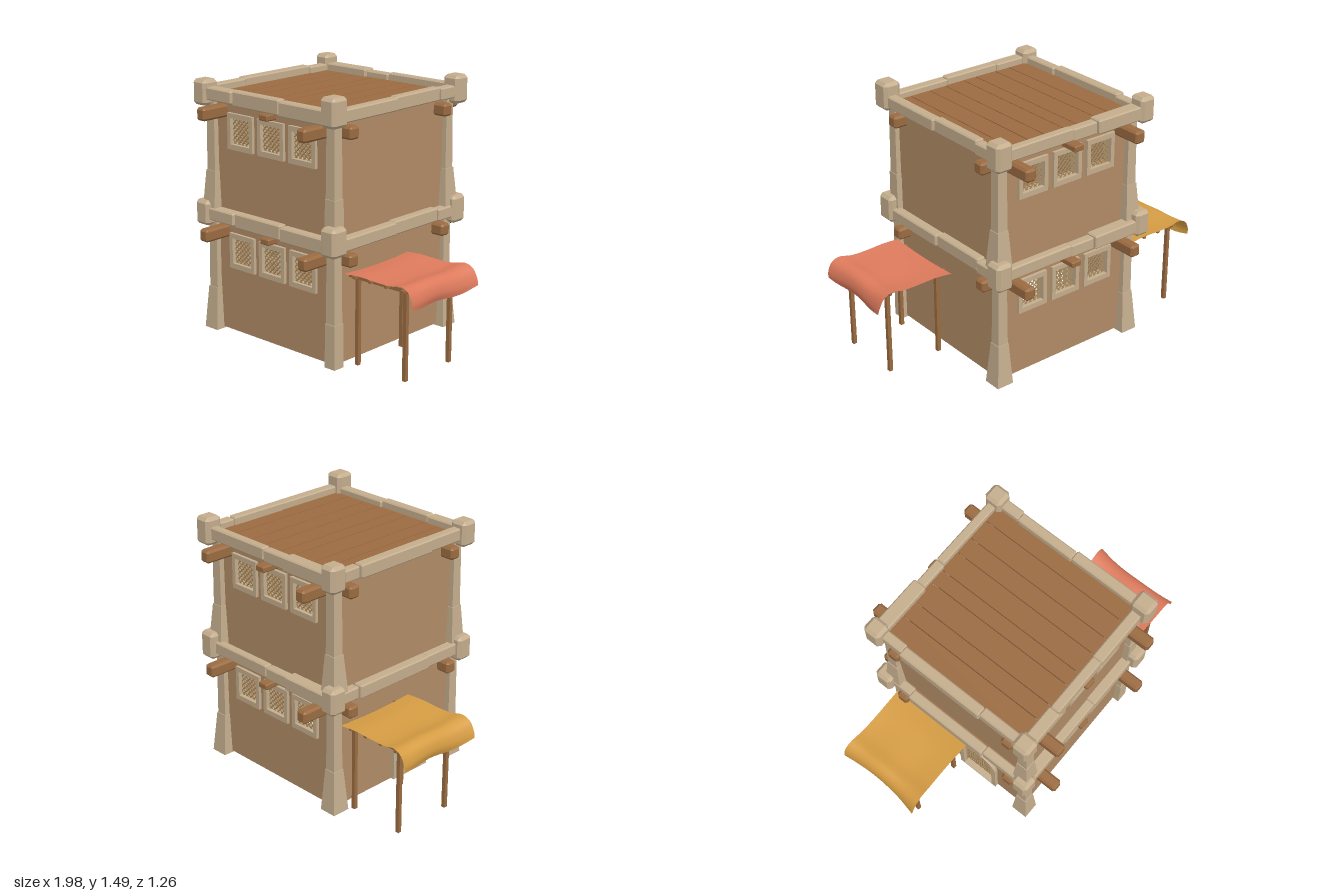
import * as THREE from 'three';
import { mergeGeometries } from 'three/addons/utils/BufferGeometryUtils.js';
import { ConvexGeometry } from 'three/addons/geometries/ConvexGeometry.js';

const mat = (name, color, side = THREE.FrontSide) =>
  Object.assign(new THREE.MeshStandardMaterial({ color, side }), { name });
const plaster = mat('plaster', 0xb08b65);
const stone = mat('stone', 0xc4ad8d);
const wood = mat('wood', 0x9a6b41);
const darkWood = mat('darkWood', 0x5c3e26);
const latticeWood = mat('latticeWood', 0xa88a60);
const redCloth = mat('redCloth', 0xdd7a5c, THREE.DoubleSide);
const yellowCloth = mat('yellowCloth', 0xd59c43, THREE.DoubleSide);

const LEVEL = 0.69;

function add(parent, name, geometry, material, x = 0, y = 0, z = 0) {
  const mesh = new THREE.Mesh(geometry, material);
  mesh.name = name;
  mesh.position.set(x, y, z);
  parent.add(mesh);
  return mesh;
}

// Box given by its limits, with all edges chamfered by c
function chiselled(parent, name, material, [x0, x1], [y0, y1], [z0, z1], c = 0.01) {
  const half = [(x1 - x0) / 2, (y1 - y0) / 2, (z1 - z0) / 2];
  const points = [];
  for (let axis = 0; axis < 3; axis++)
    for (const sx of [-1, 1]) for (const sy of [-1, 1]) for (const sz of [-1, 1]) {
      const p = half.map((h, i) => (i === axis ? h : h - c));
      points.push(new THREE.Vector3(sx * p[0], sy * p[1], sz * p[2]));
    }
  return add(parent, name, new ConvexGeometry(points), material,
    (x0 + x1) / 2, (y0 + y1) / 2, (z0 + z1) / 2);
}

// Four-sided block from a bottom and a top rectangle
function tapered(parent, name, material, bottom, top, y0, y1) {
  const points = [];
  for (const [[x0, x1, z0, z1], y] of [[bottom, y0], [top, y1]])
    for (const x of [x0, x1]) for (const z of [z0, z1]) points.push(new THREE.Vector3(x, y, z));
  return add(parent, name, new ConvexGeometry(points), material);
}

function rectangle(Type, x0, y0, x1, y1) {
  const p = new Type();
  p.moveTo(x0, y0); p.lineTo(x1, y0); p.lineTo(x1, y1); p.lineTo(x0, y1); p.closePath();
  return p;
}

function arch(Type, cx, y0, spring, r) {
  const p = new Type();
  p.moveTo(cx - r, y0); p.lineTo(cx + r, y0); p.lineTo(cx + r, spring);
  p.absarc(cx, spring, r, 0, Math.PI, false);
  p.closePath();
  return p;
}

const extrude = (shape, depth) =>
  new THREE.ExtrudeGeometry(shape, { depth, bevelEnabled: false, curveSegments: 10 });

// Crossed diagonal strips filling a convex region around the origin
function latticeGeometry(inside, reach, pitch = 0.021) {
  const strips = [];
  for (const angle of [Math.PI / 4, -Math.PI / 4]) {
    const c = Math.cos(angle), s = Math.sin(angle);
    for (let d = -reach; d <= reach; d += pitch) {
      let first = null, last = null;
      for (let t = -reach; t <= reach; t += 0.003)
        if (inside(t * c - d * s, t * s + d * c)) { first ??= t; last = t; }
      if (first === null || last - first < 0.004) continue;
      const strip = new THREE.BoxGeometry(last - first, 0.0055, 0.006);
      strip.translate((first + last) / 2, d, 0).rotateZ(angle);
      strips.push(strip);
    }
  }
  return mergeGeometries(strips);
}

const WINDOWS = [-0.235, 0, 0.235];
const windowLattice = latticeGeometry((x, y) => Math.abs(x) < 0.075 && Math.abs(y) < 0.075, 0.11);
const DOOR = { x: 0.12, spring: 0.31, r: 0.105 };

// A wall facing local +z, with optional windows or door
function wall(parent, name, rotation, kind) {
  const g = new THREE.Group();
  g.name = name;
  g.rotation.y = rotation;
  parent.add(g);
  const shape = rectangle(THREE.Shape, -0.455, 0.01, 0.455, 0.68);
  if (kind === 'windows') for (const x of WINDOWS) {
    shape.holes.push(rectangle(THREE.Path, x - 0.075, 0.42, x + 0.075, 0.57));
    const frame = rectangle(THREE.Shape, x - 0.098, 0.39, x + 0.098, 0.595);
    frame.holes.push(rectangle(THREE.Path, x - 0.073, 0.42, x + 0.073, 0.567));
    add(g, 'windowFrame', extrude(frame, 0.06), stone, 0, 0, 0.415);
    add(g, 'windowLattice', windowLattice, latticeWood, x, 0.494, 0.45);
  }
  if (kind === 'door') {
    const { x, spring, r } = DOOR;
    shape.holes.push(arch(THREE.Path, x, 0.02, spring, r));
    const frame = arch(THREE.Shape, x, 0.01, spring, r + 0.03);
    frame.holes.push(arch(THREE.Path, x, 0.02, spring, r));
    add(g, 'doorFrame', extrude(frame, 0.07), stone, 0, 0, 0.41);
    add(g, 'doorCrossbar', new THREE.BoxGeometry(r * 2, 0.022, 0.03), stone, x, spring, 0.44);
    const mid = 0.2;
    add(g, 'doorLattice', latticeGeometry((px, py) => {
      const y = py + mid;
      return Math.abs(px) < r && y > 0.02 && (y < spring || Math.hypot(px, y - spring) < r);
    }, 0.26, 0.024), latticeWood, x, mid, 0.44);
  }
  add(g, 'wallPanel', extrude(shape, 0.03), plaster, 0, 0, 0.427);
}

// Corner details: signs, foot flare, then limits of the capping block
const CORNERS = [
  [1, 1, 0.008, [0.43, 0.537], [0.64, 0.80], [0.435, 0.55]],
  [1, -1, 0.028, [0.435, 0.54], [0.62, 0.78], [0.45, 0.557]],
  [-1, 1, 0.025, [0.445, 0.55], [0.62, 0.765], [0.43, 0.535]],
  [-1, -1, 0.028, [0.45, 0.55], [0.63, 0.78], [0.455, 0.56]],
];
const span = (s, [a, b]) => (s > 0 ? [a, b] : [-b, -a]);

// Rail stones: x, y and z limits
const RAILS = [
  [[-0.46, -0.255], [0.655, 0.727], [0.45, 0.52]],
  [[-0.255, 0.1], [0.645, 0.73], [0.455, 0.51]],
  [[0.1, 0.45], [0.64, 0.722], [0.45, 0.512]],
  [[-0.46, -0.155], [0.65, 0.73], [-0.545, -0.465]],
  [[-0.155, 0.01], [0.65, 0.722], [-0.53, -0.475]],
  [[0.01, 0.45], [0.655, 0.728], [-0.53, -0.48]],
  [[0.46, 0.52], [0.657, 0.728], [0.025, 0.45]],
  [[0.455, 0.51], [0.655, 0.732], [-0.34, 0.025]],
  [[0.46, 0.52], [0.655, 0.725], [-0.47, -0.34]],
  [[-0.52, -0.465], [0.655, 0.728], [0.2, 0.45]],
  [[-0.53, -0.47], [0.655, 0.732], [-0.33, 0.2]],
  [[-0.515, -0.46], [0.655, 0.725], [-0.47, -0.33]],
];

function storey(name, y, hasDoor) {
  const g = new THREE.Group();
  g.name = name;
  g.position.y = y;
  wall(g, 'frontWall', 0, 'windows');
  wall(g, 'backWall', Math.PI, 'windows');
  wall(g, 'leftWall', Math.PI / 2);
  wall(g, 'rightWall', -Math.PI / 2, hasDoor ? 'door' : undefined);

  for (const [sx, sz, flare, bx, by, bz] of CORNERS) {
    const foot = f => [...span(sx, [0.425 - f * 0.6, 0.485 + f]), ...span(sz, [0.43 - f * 0.8, 0.488 + f])];
    tapered(g, 'postFoot', stone, foot(flare), foot(0.006), 0, 0.25);
    tapered(g, 'cornerPost', stone, foot(0.002), foot(-0.002), 0.25, 0.66);
    chiselled(g, 'cornerBlock', stone, span(sx, bx), by, span(sz, bz), 0.018);
    // Beam ends beside each corner
    chiselled(g, 'longBeamEnd', wood, span(sx, [0.345, 0.412]), [0.565, 0.637], span(sz, [0.4, 0.632]), 0.012);
    chiselled(g, 'sideBeamEnd', wood, span(sx, [0.4, 0.537]), [0.565, 0.635], span(sz, [0.35, 0.42]), 0.012);
  }
  for (const s of [1, -1])
    chiselled(g, 'middleBeamEnd', wood, [-0.033, 0.033], [0.605, 0.64], span(s, [0.4, s > 0 ? 0.528 : 0.565]), 0.006);
  for (const r of RAILS) chiselled(g, 'railStone', stone, ...r, 0.007);

  // Plank roof over a dark base
  add(g, 'roofBase', new THREE.BoxGeometry(0.92, 0.012, 0.92), darkWood, 0, 0.667, 0);
  const widths = [0.13, 0.1, 0.14, 0.09, 0.13, 0.11, 0.13, 0.11];
  let x = -0.47;
  for (const w of widths) {
    add(g, 'roofPlank', new THREE.BoxGeometry(w - 0.005, 0.014, 0.96), wood, x + w / 2, 0.68, 0);
    x += w;
  }
  return g;
}

// Cloth awning on a slim wooden stand, reaching out along +x
function awning(name, cloth) {
  const g = new THREE.Group();
  g.name = name;
  const profile = new THREE.CatmullRomCurve3([[0.5, 0.532], [0.6, 0.54], [0.72, 0.537], [0.82, 0.54],
    [0.9, 0.556], [0.95, 0.535], [0.98, 0.485], [0.99, 0.45]].map(([x, y]) => new THREE.Vector3(x, y, 0)));
  const geo = new THREE.PlaneGeometry(1, 1, 24, 16);
  const pos = geo.attributes.position;
  for (let i = 0; i < pos.count; i++) {
    const u = pos.getX(i) + 0.5, v = pos.getY(i) + 0.5;
    const p = profile.getPoint(u), bow = Math.sin(Math.PI * v);
    pos.setXYZ(i,
      p.x - u ** 4 * (0.035 * bow + 0.02 * (1 - v)),
      p.y - bow * (0.01 + 0.018 * u ** 3) + 0.008 * Math.sin(v * 9 + 4) * u,
      0.43 - 0.52 * v + 0.01 * Math.sin(u * 6) * (v - 0.5));
  }
  geo.computeVertexNormals();
  add(g, 'awningCloth', geo, cloth);
  for (const z of [0.362, -0.002]) {
    for (const x of [0.54, 0.87])
      add(g, 'awningLeg', new THREE.BoxGeometry(0.022, 0.5, 0.022), wood, x, 0.26, z);
    add(g, 'awningSideBar', new THREE.BoxGeometry(0.42, 0.022, 0.018), wood, 0.69, 0.508, z);
  }
  for (const x of [0.54, 0.65, 0.76, 0.87])
    add(g, 'awningCrossBar', new THREE.BoxGeometry(0.018, 0.014, 0.44), wood, x, 0.512, 0.18);
  return g;
}

export function createModel() {
  const model = new THREE.Group();
  model.name = 'twoStoreyHouse';
  model.add(storey('lowerStorey', 0, true), storey('upperStorey', LEVEL, false));
  model.add(awning('redAwning', redCloth));
  const yellow = awning('yellowAwning', yellowCloth);
  yellow.rotation.y = Math.PI;
  yellow.position.z = -0.025;
  model.add(yellow);
  return model;
}
